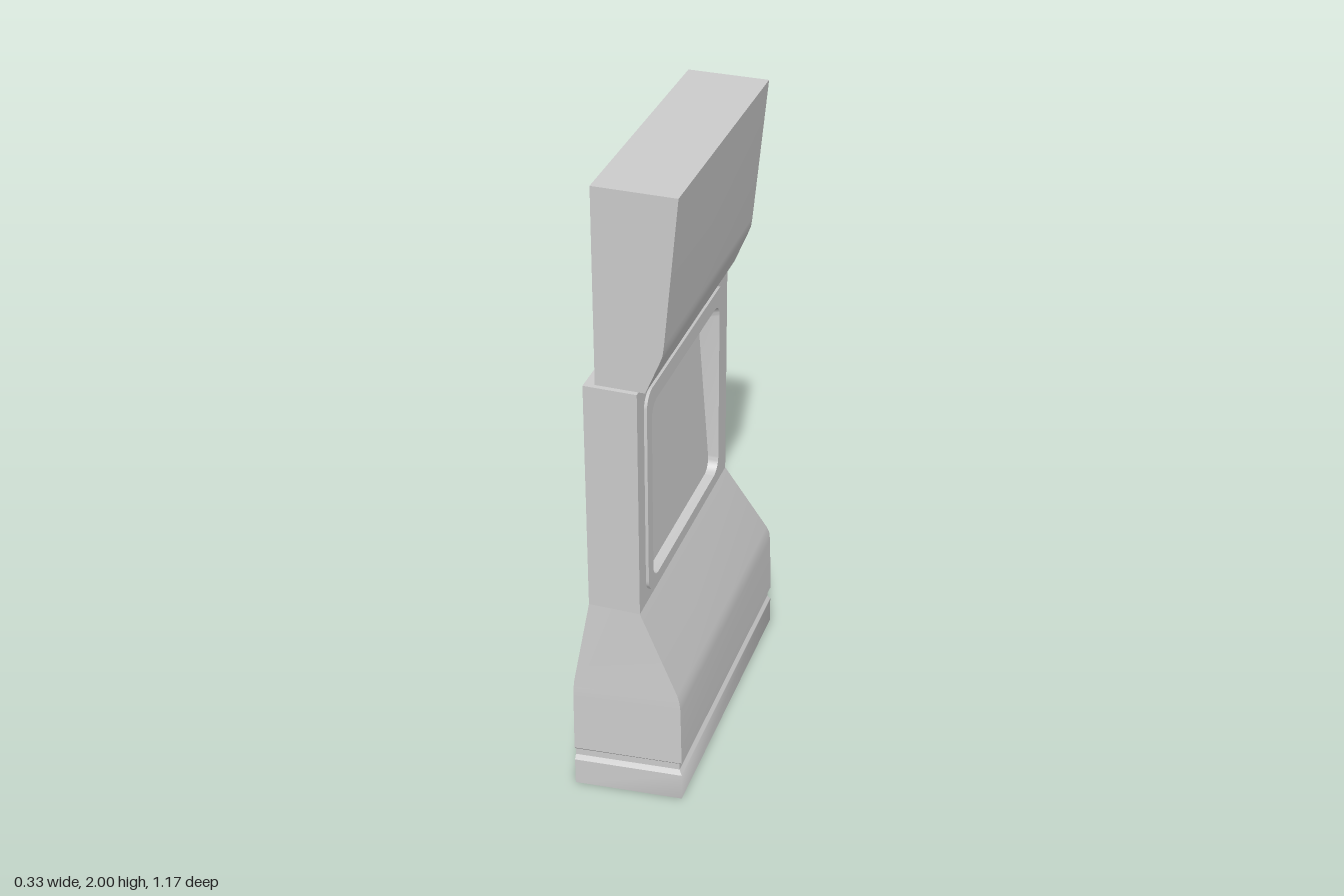
import * as THREE from 'three';
import { toCreasedNormals } from 'three/addons/utils/BufferGeometryUtils.js';

const material = new THREE.MeshStandardMaterial({ color: 0xcccccc, side: THREE.DoubleSide });

// Skin rows of [x, y, z] points, listed from top to bottom, with quads
function loft(rows, crease = 0.35) {
  const pos = [];
  for (let r = 0; r < rows.length - 1; r++) {
    for (let i = 0; i < rows[r].length - 1; i++) {
      const a = rows[r][i], b = rows[r][i + 1];
      const c = rows[r + 1][i], d = rows[r + 1][i + 1];
      pos.push(...a, ...c, ...b, ...b, ...c, ...d);
    }
  }
  const geo = new THREE.BufferGeometry();
  geo.setAttribute('position', new THREE.Float32BufferAttribute(pos, 3));
  return toCreasedNormals(geo, crease);
}

// Rounded rectangle in (-z, y), used for the window outlines
function roundedRect(zFront, zBack, y0, y1, r, Type = THREE.Shape) {
  const l = -zFront, w = -zBack, s = new Type();
  s.moveTo(l + r, y0);
  s.lineTo(w - r, y0);
  s.absarc(w - r, y0 + r, r, -Math.PI / 2, 0);
  s.lineTo(w, y1 - r);
  s.absarc(w - r, y1 - r, r, 0, Math.PI / 2);
  s.lineTo(l + r, y1);
  s.absarc(l + r, y1 - r, r, Math.PI / 2, Math.PI);
  s.lineTo(l, y0 + r);
  s.absarc(l + r, y0 + r, r, Math.PI, Math.PI * 1.5);
  return s;
}

export function createModel() {
  const group = new THREE.Group();
  const add = (name, geo) => {
    const mesh = new THREE.Mesh(geo, material);
    mesh.name = name;
    group.add(mesh);
  };
  const xPanel = 0.041, zWall = -0.253;

  // Flared base: front end, front corner, back corner, back end at each height
  const baseRow = (y, x0, x1, z0, z1, z2, z3) =>
    [[x0, y, z0], [x1, y, z1], [x1, y, z2], [-0.115, y, z3]];
  const outer = y => baseRow(y, -0.166, 0.164, 0.584, 0.553, -0.383, -0.584);
  const inner = y => baseRow(y, -0.166, 0.155, 0.575, 0.544, -0.377, -0.574);
  add('flaredBase', loft([
    baseRow(0.67, -0.115, xPanel, 0.56, 0.56, zWall, zWall),
    baseRow(0.39, -0.162, 0.15, 0.578, 0.55, -0.366, -0.553),
    baseRow(0.365, -0.164, 0.157, 0.58, 0.551, -0.374, -0.569),
    baseRow(0.335, -0.165, 0.16, 0.581, 0.551, -0.376, -0.573),
    outer(0.137), inner(0.127), inner(0.105), outer(0.09),
  ]));
  add('skirting', loft([outer(0.09), outer(0)], 1.6));

  // Middle section: panel with a window hole, two side walls and a top ledge
  const panel = new THREE.Shape();
  panel.moveTo(-0.56, 0.67);
  panel.lineTo(-zWall, 0.67);
  panel.lineTo(-zWall, 1.405);
  panel.lineTo(-0.56, 1.405);
  panel.closePath();
  panel.holes.push(roundedRect(0.505, -0.195, 0.7, 1.372, 0.05, THREE.Path));
  add('windowPanel',
    new THREE.ShapeGeometry(panel, 5).rotateY(Math.PI / 2).translate(xPanel, 0, 0));
  for (const [name, z, xa, xb] of [
    ['frontWall', 0.56, -0.115, xPanel], ['backWall', zWall, xPanel, -0.115]]) {
    add(name, loft([
      [[xa, 1.405, z], [xb, 1.405, z]],
      [[xa, 0.67, z], [xb, 0.67, z]],
    ]));
  }
  add('middleLedge', loft([
    [[-0.115, 1.405, zWall], [xPanel, 1.405, zWall]],
    [[-0.115, 1.405, 0.56], [xPanel, 1.405, 0.56]],
  ]));

  // Window frame: raised rim, reveal to a pane leaning back at the top, inner surround
  const paneX = y => 0.02 - 0.07 * (y - 0.73);
  const ring = (xAt, ...rect) =>
    roundedRect(...rect).getPoints(5).map(p => [xAt(p.y), p.y, -p.x]);
  const rim = [0.505, -0.195, 0.7, 1.372, 0.05];
  const surround = [0.505, -0.195, 0.7, 1.335, 0.05];
  const opening = [0.465, -0.15, 0.73, 1.32, 0.045];
  const paneEdge = [0.464, -0.149, 0.731, 1.3, 0.045];
  add('windowFrame', loft([
    ring(() => -0.045, ...surround), ring(() => 0.05, ...rim),
    ring(() => 0.05, ...opening), ring(paneX, ...paneEdge),
    ring(() => -0.045, ...surround),
  ]));
  const pane = new THREE.ShapeGeometry(roundedRect(...paneEdge), 5).rotateY(Math.PI / 2);
  const p = pane.attributes.position;
  for (let i = 0; i < p.count; i++) p.setX(i, paneX(p.getY(i)));
  pane.computeVertexNormals();
  add('windowPane', pane);

  // Upper hood, open at the rear
  const profile = [[0.156, 2], [0.114, 1.56], [0.11, 1.53], [0.101, 1.505], [0.06, 1.405]];
  const zF = 0.545, zB = -0.262, xR = -0.085;
  add('hood', loft(profile.map(([x, y]) =>
    [[xR, y, zF], [x, y, zF], [x, y, zB], [xR, y, zB]])));
  add('hoodTop', loft([
    [[xR, 2, zB], [0.156, 2, zB]],
    [[xR, 2, zF], [0.156, 2, zF]],
  ]));
  add('hoodLip', loft([
    [[0.062, 1.41, zB], [0.025, 1.41, zB]],
    [[0.062, 1.41, zF], [0.025, 1.41, zF]],
  ]));

  return group;
}
